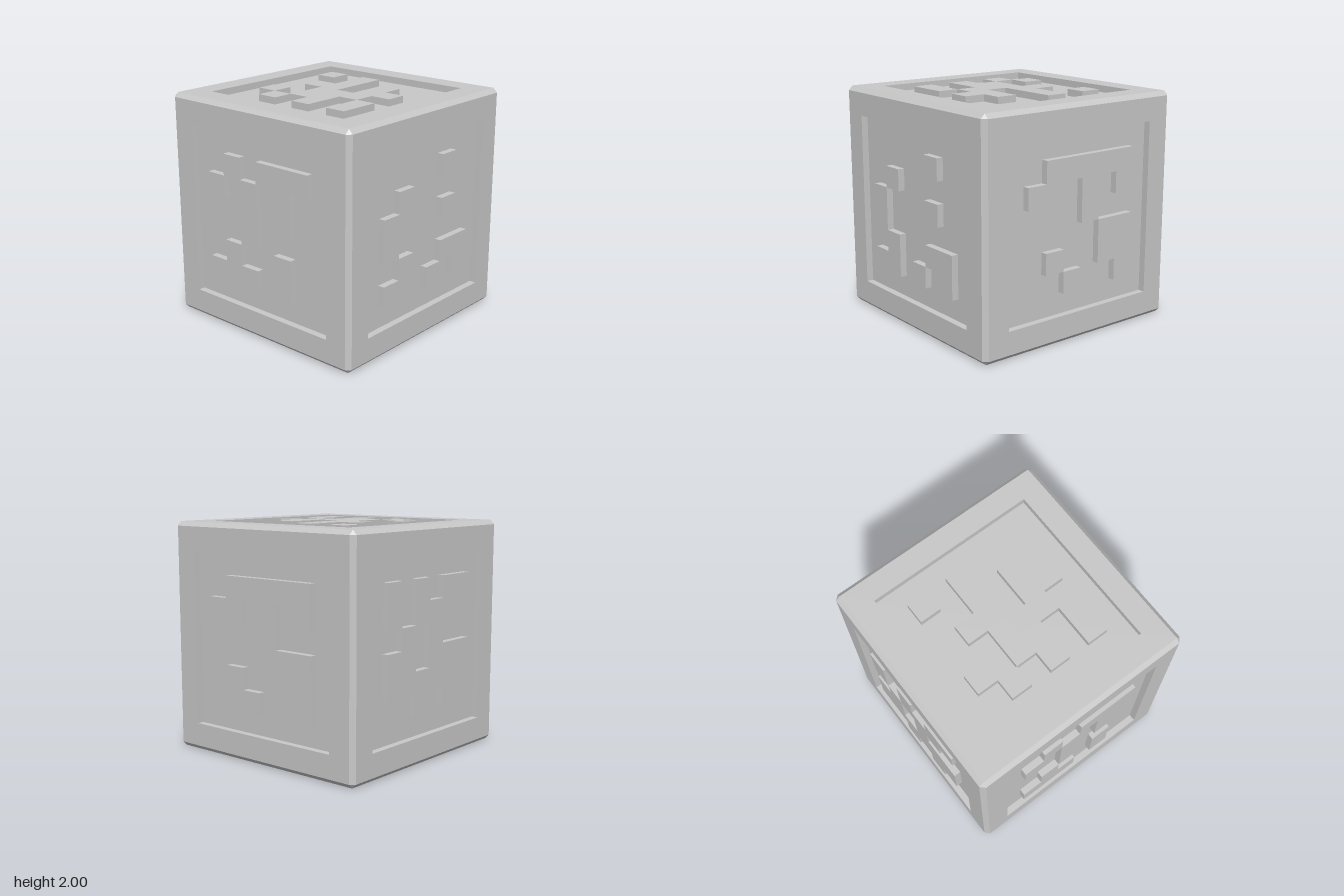
import * as THREE from 'three';
import { mergeGeometries } from 'three/addons/utils/BufferGeometryUtils.js';

const BEVEL = 0.038, RECESS = 0.06, PANEL = 0.76, CELL = 0.19;
const FLAT = 1 - BEVEL;

// Raised cells of each panel, rows from top, columns from left as seen from outside
const PATTERNS = {
  front: ['....#.', '.#....', '#...#.', '#.....', '.#..##', '##.#.#'],
  right: ['.#####', '##.#.#', '...#..', '....##', '.#..##', '..#..#'],
  back: ['#.#.##', '#.###.', '.#.#..', '##.###', '######', '..#.#.'],
  left: ['.#.###', '#.#.#.', '..#.#.', '..#...', '.#..#.', '###.#.'],
  top: ['.#...#', '#..#..', '.#####', '###...', '..###.', '##.#..'],
};
const ROTATIONS = {
  front: [0, 0], right: [0, Math.PI / 2], back: [0, Math.PI],
  left: [0, -Math.PI / 2], top: [-Math.PI / 2, 0],
};

function squareLoop(h, target) {
  target.moveTo(-h, -h);
  target.lineTo(h, -h);
  target.lineTo(h, h);
  target.lineTo(-h, h);
  target.closePath();
  return target;
}

// Face border with a square opening; its inner walls form the recess
function frameGeometry() {
  const shape = squareLoop(FLAT, new THREE.Shape());
  shape.holes.push(squareLoop(PANEL, new THREE.Path()));
  return new THREE.ExtrudeGeometry(shape, { depth: RECESS, bevelEnabled: false })
    .translate(0, 0, 1 - RECESS);
}

// Flush cells: a top for each one, and a wall wherever the neighbour is empty
function reliefGeometry(rows) {
  const filled = (r, c) => rows[r]?.[c] === '#';
  const parts = [];
  for (let r = 0; r < 6; r++) {
    for (let c = 0; c < 6; c++) {
      if (!filled(r, c)) continue;
      const x = (c - 2.5) * CELL, y = (2.5 - r) * CELL;
      parts.push(new THREE.PlaneGeometry(CELL, CELL).translate(x, y, 1));
      [[0, 1], [-1, 0], [0, -1], [1, 0]].forEach(([dr, dc], i) => {
        if (filled(r + dr, c + dc)) return;
        parts.push(new THREE.PlaneGeometry(RECESS, CELL)
          .rotateY(Math.PI / 2)
          .translate(CELL / 2, 0, 1 - RECESS / 2)
          .rotateZ(i * Math.PI / 2)
          .translate(x, y, 0));
      });
    }
  }
  return mergeGeometries(parts);
}

// Twelve chamfer strips and eight corner triangles
function chamferGeometry() {
  const parts = [];
  for (let i = 0; i < 4; i++) {
    const strip = () => new THREE.PlaneGeometry(2 * FLAT, BEVEL * Math.SQRT2)
      .rotateX(-Math.PI / 4)
      .translate(0, 1 - BEVEL / 2, 1 - BEVEL / 2)
      .rotateX(i * Math.PI / 2);
    parts.push(strip(), strip().rotateY(Math.PI / 2), strip().rotateZ(Math.PI / 2));
  }
  for (const sx of [-1, 1]) for (const sy of [-1, 1]) for (const sz of [-1, 1]) {
    const pts = [[1, FLAT, FLAT], [FLAT, 1, FLAT], [FLAT, FLAT, 1]]
      .map(([x, y, z]) => [x * sx, y * sy, z * sz]);
    if (sx * sy * sz < 0) pts.reverse();
    const tri = new THREE.BufferGeometry();
    tri.setAttribute('position', new THREE.Float32BufferAttribute(pts.flat(), 3));
    tri.setAttribute('uv', new THREE.Float32BufferAttribute([0, 0, 1, 0, 0, 1], 2));
    tri.setIndex([0, 1, 2]);
    tri.computeVertexNormals();
    parts.push(tri);
  }
  return mergeGeometries(parts);
}

export function createModel() {
  const stone = new THREE.MeshStandardMaterial({ color: 0xc8c8c8 });
  stone.name = 'stone grey';
  const model = new THREE.Group();
  model.name = 'carvedCube';
  const body = new THREE.Group();
  body.name = 'body';
  body.position.y = 1;
  model.add(body);

  const add = (parent, name, geometry) => {
    const mesh = new THREE.Mesh(geometry, stone);
    mesh.name = name;
    parent.add(mesh);
  };

  // Five sides with a sunken panel
  const frame = frameGeometry();
  for (const [side, rows] of Object.entries(PATTERNS)) {
    const face = new THREE.Group();
    face.name = side + 'Face';
    face.rotation.set(ROTATIONS[side][0], ROTATIONS[side][1], 0);
    add(face, side + 'Frame', frame);
    add(face, side + 'Floor',
      new THREE.PlaneGeometry(2 * PANEL, 2 * PANEL).translate(0, 0, 1 - RECESS));
    add(face, side + 'Relief', reliefGeometry(rows));
    body.add(face);
  }

  // Plain underside and chamfered edges
  add(body, 'underside',
    new THREE.PlaneGeometry(2 * FLAT, 2 * FLAT).rotateX(Math.PI / 2).translate(0, -1, 0));
  add(body, 'chamferedEdges', chamferGeometry());
  return model;
}
